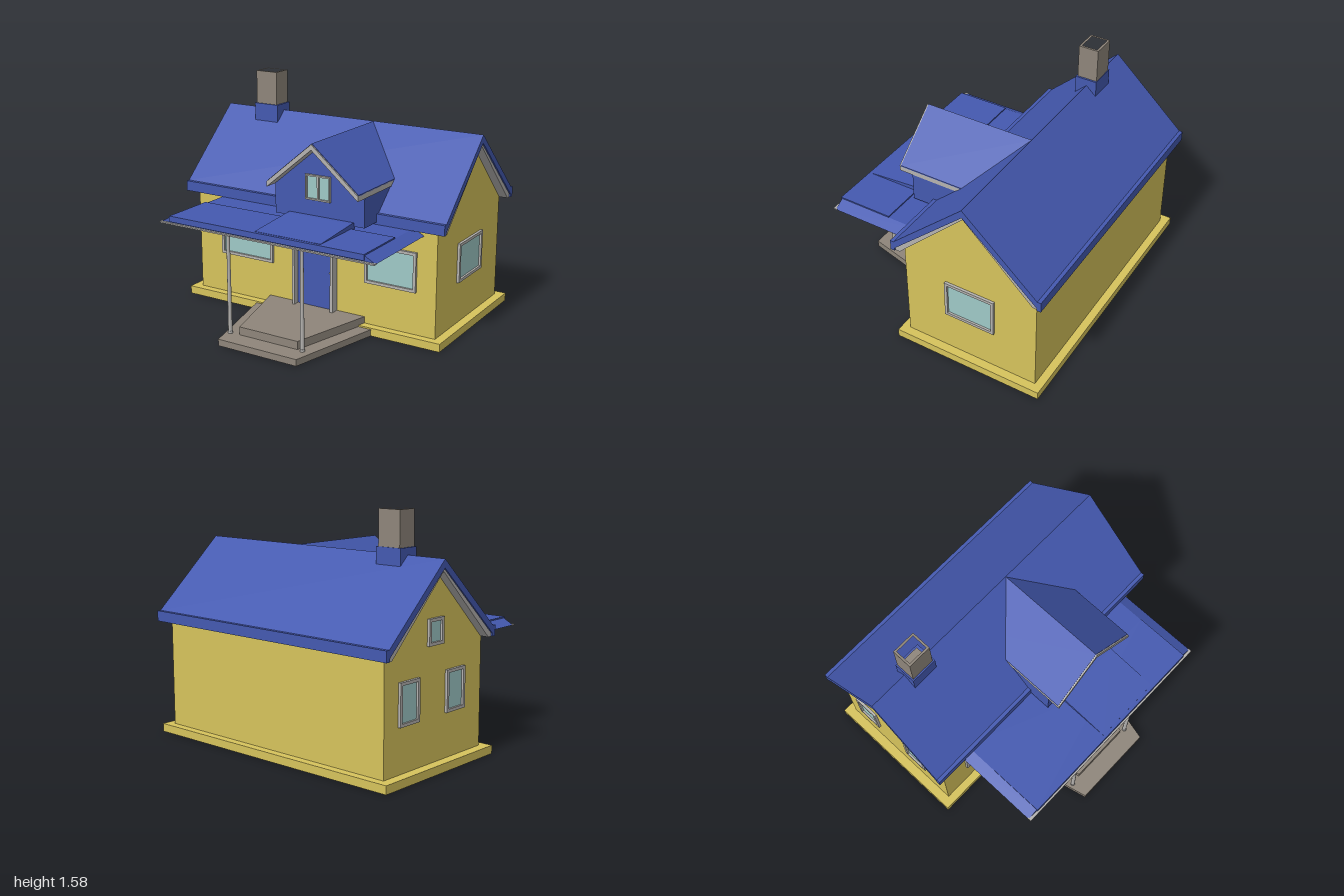
import * as THREE from 'three';

const mat = (color) => new THREE.MeshStandardMaterial({ color });
const WALL = mat(0xd6c35c), BLUE = mat(0x4459b0), STONE = mat(0x8e857a);
const TRIM = mat(0xb5b3b0), GLASS = mat(0x9fc9c7);

function add(parent, name, geometry, material) {
  const mesh = new THREE.Mesh(geometry, material);
  mesh.name = name;
  parent.add(mesh);
  return mesh;
}

// Box given by its min and max corners
function box(parent, name, material, [x0, y0, z0], [x1, y1, z1]) {
  const mesh = add(parent, name, new THREE.BoxGeometry(x1 - x0, y1 - y0, z1 - z0), material);
  mesh.position.set((x0 + x1) / 2, (y0 + y1) / 2, (z0 + z1) / 2);
  return mesh;
}

// Prism along an axis: points are (z, y) for 'x', (x, z) for 'y', (x, y) for 'z'
function prism(points, axis, from, to, hole) {
  const flat = (list) => list.map(([a, b]) =>
    axis === 'x' ? new THREE.Vector2(-a, b) : new THREE.Vector2(a, axis === 'y' ? -b : b));
  const shape = new THREE.Shape(flat(points));
  if (hole) shape.holes.push(new THREE.Path(flat(hole)));
  const geo = new THREE.ExtrudeGeometry(shape, { depth: to - from, bevelEnabled: false });
  geo.translate(0, 0, from);
  if (axis === 'x') geo.rotateY(Math.PI / 2);
  if (axis === 'y') geo.rotateX(-Math.PI / 2);
  return geo;
}

const rect = (x0, y0, x1, y1) => [[x0, y0], [x1, y0], [x1, y1], [x0, y1]];

// Window facing +z, centred on its own origin, then turned to its wall
function addWindow(parent, name, w, h, position, turn = 0, mullion = false, border = 0.02) {
  const group = new THREE.Group();
  group.name = name;
  const x = w / 2, y = h / 2, b = border;
  add(group, 'windowFrame', prism(rect(-x, -y, x, y), 'z', -0.01, 0.018,
    rect(-x + b, -y + b, x - b, y - b)), TRIM);
  box(group, 'windowPane', GLASS, [-x + b, -y + b, -0.01], [x - b, y - b, 0.004]);
  if (mullion) box(group, 'windowMullion', TRIM, [-0.007, -y + b, -0.01], [0.007, y - b, 0.012]);
  group.position.set(...position);
  group.rotation.y = turn;
  parent.add(group);
}

export function createModel() {
  const house = new THREE.Group();
  house.name = 'house';

  // Plinth and gabled walls
  box(house, 'plinth', WALL, [-0.995, 0, -0.85], [0.99, 0.055, 0.21]);
  add(house, 'walls', prism([[-0.795, 0.05], [0.155, 0.05], [0.155, 0.8], [-0.32, 1.235],
    [-0.795, 0.8]], 'x', -0.93, 0.93), WALL);

  // Main roof with boxed eaves and a grey soffit
  const mid = -0.325;
  const mirrored = (half) => [...half, ...half.slice().reverse()
    .filter(([d]) => d !== 0).map(([d, y]) => [-d, y])].map(([d, y]) => [mid + d, y]);
  const outer = [[0.51, 0.84], [0.535, 0.84], [0.535, 0.77], [0.505, 0.77], [0.505, 0.79]];
  const roof = [[mid, 1.305], ...outer.map(([d, y]) => [mid + d, y]), [mid, 1.25],
    ...outer.slice().reverse().map(([d, y]) => [mid - d, y])];
  add(house, 'mainRoof', prism(roof, 'x', -1, 1), BLUE);
  add(house, 'roofSoffit', prism(mirrored([[0.505, 0.768], [0.505, 0.795], [0, 1.255]])
    .concat([[mid - 0.475, 0.768], [mid, 1.23], [mid + 0.475, 0.768]]), 'x', -0.99, 0.99), TRIM);

  // Chimney with an open top on a blue collar
  box(house, 'chimneyCollar', BLUE, [-0.72, 1.1, -0.395], [-0.53, 1.35, -0.24]);
  add(house, 'chimney', prism(rect(-0.71, -0.39, -0.543, -0.25), 'y', 1.3, 1.58,
    rect(-0.695, -0.375, -0.558, -0.265)), STONE);
  box(house, 'chimneyFloor', STONE, [-0.7, 1.3, -0.38], [-0.55, 1.36, -0.26]);

  // Dormer: body, roof, barge boards and window
  add(house, 'dormerBody', prism([[-0.14, 0.785], [0.525, 0.785], [0.525, 1.0], [0.193, 1.27],
    [-0.14, 1.0]], 'z', 0, 0.365), BLUE);
  add(house, 'dormerRoof', prism([[-0.145, 1.02], [0.193, 1.303], [0.53, 1.02], [0.53, 1.012],
    [0.193, 1.292], [-0.145, 1.012]], 'z', -0.325, 0.45), BLUE);
  add(house, 'dormerBargeBoards', prism([[-0.145, 1.015], [0.193, 1.298], [0.53, 1.015],
    [0.53, 0.98], [0.193, 1.262], [-0.145, 0.98]], 'z', 0, 0.46), TRIM);
  addWindow(house, 'dormerWindow', 0.185, 0.165, [0.19, 0.998, 0.365], 0, true, 0.01);

  // Porch roof: hipped base, raised panel, central wedge and front edge
  add(house, 'porchRoof', prism([[-0.765, 0.73], [0.835, 0.73], [0.76, 0.77], [-0.69, 0.77]],
    'z', 0.15, 0.775), BLUE);
  box(house, 'porchRoofPanel', BLUE, [-0.69, 0.74, 0.4], [0.76, 0.779, 0.782]);
  add(house, 'porchRoofWedge', prism([[0.76, 0.76], [0.76, 0.781], [0.4, 0.81], [0.36, 0.81],
    [0.36, 0.76]], 'x', -0.03, 0.45), BLUE);
  box(house, 'porchRoofEdge', TRIM, [-0.765, 0.726, 0.765], [0.835, 0.735, 0.793]);

  // Porch posts with small feet and caps
  for (const x of [-0.255, 0.3]) {
    add(house, 'porchPost', new THREE.CylinderGeometry(0.011, 0.014, 0.69, 12), TRIM)
      .position.set(x, 0.385, 0.735);
    for (const y of [0.053, 0.722])
      add(house, 'porchPostCollar', new THREE.CylinderGeometry(0.016, 0.016, 0.018, 12), TRIM)
        .position.set(x, y, 0.735);
  }

  // Tapered porch steps
  add(house, 'lowerStep', prism([[-0.43, 0.16], [-0.26, 0.86], [0.335, 0.86], [0.505, 0.16]],
    'y', 0, 0.045), STONE);
  add(house, 'upperStep', prism([[-0.34, 0.15], [-0.185, 0.73], [0.26, 0.73], [0.415, 0.15]],
    'y', 0.04, 0.1), STONE);

  // Front door in a deep frame
  add(house, 'doorFrame', prism([[-0.118, 0.1], [-0.118, 0.64], [0.2, 0.64], [0.2, 0.1],
    [0.18, 0.1], [0.18, 0.632], [-0.1, 0.632], [-0.1, 0.1]], 'z', 0.15, 0.213), TRIM);
  box(house, 'door', BLUE, [-0.1, 0.1, 0.15], [0.18, 0.632, 0.168]);
  add(house, 'doorKnob', new THREE.SphereGeometry(0.008, 12, 8), TRIM).position.set(0.16, 0.36, 0.174);

  // Windows on the front and both gable walls
  addWindow(house, 'frontWindowRight', 0.43, 0.268, [-0.518, 0.479, 0.155]);
  addWindow(house, 'frontWindowLeft', 0.375, 0.268, [0.603, 0.479, 0.155]);
  addWindow(house, 'leftSideWindow', 0.357, 0.268, [0.93, 0.479, -0.322], Math.PI / 2);
  for (const z of [-0.573, -0.122])
    addWindow(house, 'rightSideWindow', 0.185, 0.268, [-0.93, 0.479, z], -Math.PI / 2);
  addWindow(house, 'rightGableWindow', 0.145, 0.165, [-0.93, 0.867, -0.325], -Math.PI / 2);

  return house;
}
